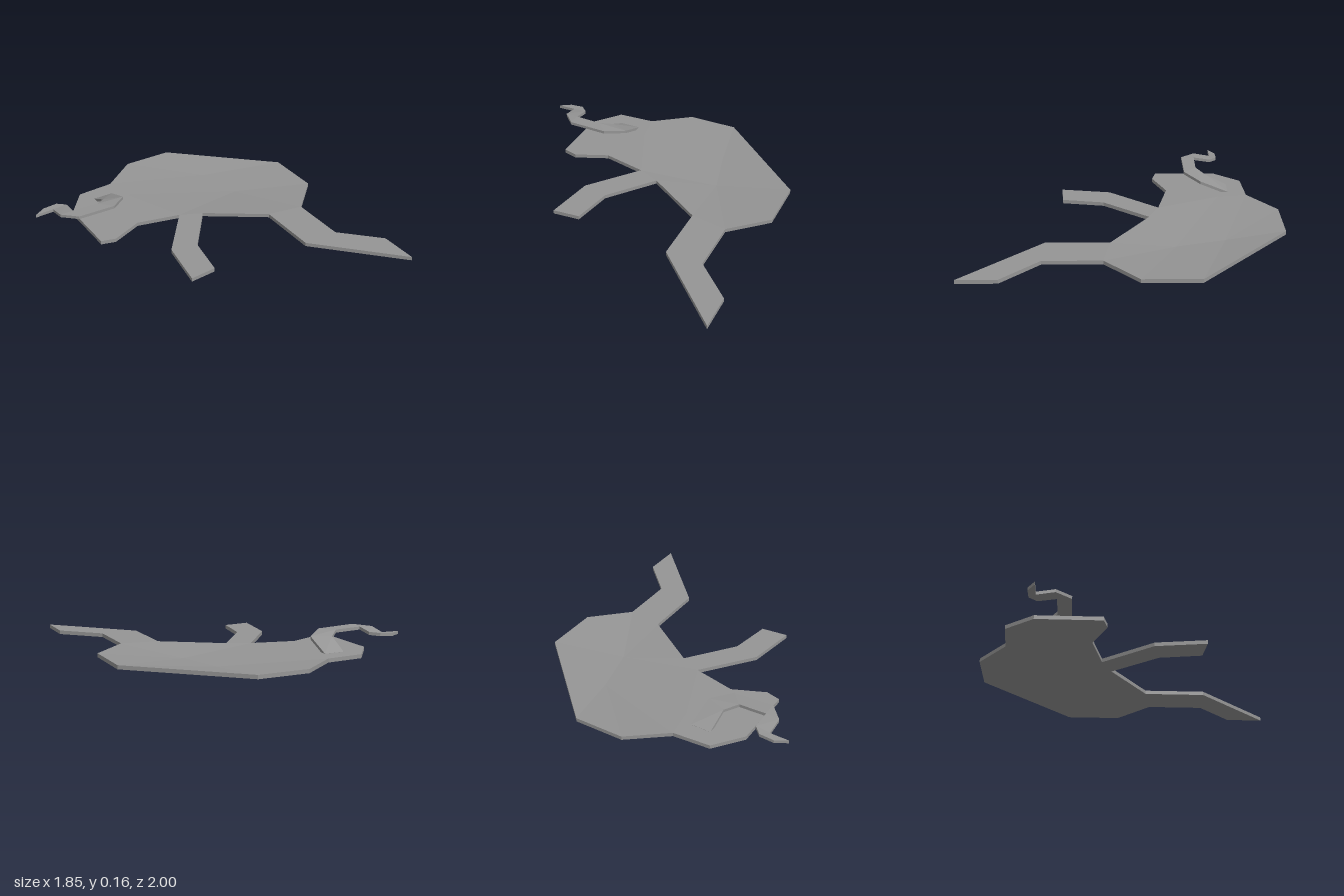
import * as THREE from 'three';

const material = new THREE.MeshStandardMaterial({ color: 0x959595, flatShading: true });

// Solid plate: points are [x, z, topY]; the first `rim` points run clockwise
// seen from above, faces are clockwise index loops, thickness goes downwards.
function plate(name, points, rim, faces, thickness) {
  const pos = [];
  const put = (i, low) => pos.push(points[i][0], points[i][2] - (low ? thickness : 0), points[i][1]);
  for (const face of faces) {
    const flat = face.map(i => new THREE.Vector2(points[i][0], points[i][1]));
    for (const tri of THREE.ShapeUtils.triangulateShape(flat, [])) {
      let [a, b, c] = tri.map(k => face[k]);
      const [A, B, C] = [points[a], points[b], points[c]];
      const turn = (B[0] - A[0]) * (C[1] - A[1]) - (B[1] - A[1]) * (C[0] - A[0]);
      if (turn > 0) [b, c] = [c, b];
      for (const i of [a, b, c]) put(i, false);
      for (const i of [a, c, b]) put(i, true);
    }
  }
  // side walls along the rim
  for (let a = 0; a < rim; a++) {
    const b = (a + 1) % rim;
    put(a, false); put(b, false); put(b, true);
    put(a, false); put(b, true); put(a, true);
  }
  const geometry = new THREE.BufferGeometry();
  geometry.setAttribute('position', new THREE.Float32BufferAttribute(pos, 3));
  geometry.computeVertexNormals();
  const mesh = new THREE.Mesh(geometry, material);
  mesh.name = name;
  return mesh;
}

export function createModel() {
  const group = new THREE.Group();
  group.name = 'flatAnimal';

  // Silhouette of back, hind leg, belly, front leg and head
  const outline = [
    [-0.03, -1], [0.3, -1], [0.92, -0.43], [0.92, -0.07], [0.69, 0.15],
    [0.69, 0.52], [0.92, 0.75], [0.92, 1], [0.45, 0.515], [0.45, 0.11],
    [0.08, -0.14], [-0.15, 0.16], [-0.195, 0.435], [-0.37, 0.45], [-0.32, 0.12],
    [-0.065, -0.205], [-0.35, -0.27], [-0.56, -0.18], [-0.655, -0.205],
    [-0.655, -0.62], [-0.515, -0.8], [-0.27, -0.815],
  ].map(([x, z]) => [x, z, 0.055]);
  // Neck point and the two sunken points of the dished body
  const inner = [[-0.24, -0.62, 0.055], [0.45, -0.3, 0.025], [0.37, -0.61, 0.028]];
  const neck = 22, low = 23, high = 24;

  const faces = [
    [15, 16, 17, 18, 19, 20, 21, neck],       // head
    [4, 5, 8, 9], [5, 6, 7, 8],               // hind leg
    [10, 11, 14, 15], [11, 12, 13, 14],       // front leg
    [high, 2, low], [high, low, neck],        // middle of the body
  ];
  const fan = (centre, ring) => {
    for (let i = 0; i + 1 < ring.length; i++) faces.push([centre, ring[i], ring[i + 1]]);
  };
  fan(high, [neck, 21, 0, 1, 2]);             // back
  fan(low, [2, 3, 4, 9, 10, 15, neck]);       // belly
  group.add(plate('body', [...outline, ...inner], outline.length, faces, 0.025));

  // Curved tusk rising from the head and hooking back at its tip
  const tusk = [
    [-0.32, -0.695, 0.056], [-0.33, -0.505, 0.13], [-0.45, -0.4, 0.152],
    [-0.71, -0.395, 0.16], [-0.8, -0.49, 0.154], [-0.8, -0.605, 0.134],
    [-0.925, -0.605, 0.131], [-0.85, -0.65, 0.133], [-0.755, -0.65, 0.139],
    [-0.705, -0.6, 0.142], [-0.71, -0.485, 0.157], [-0.53, -0.485, 0.152],
    [-0.46, -0.55, 0.127], [-0.455, -0.695, 0.056],
  ];
  group.add(plate('tusk', tusk, tusk.length, [
    [0, 1, 12, 13], [1, 2, 11, 12], [2, 3, 10, 11], [3, 4, 10],
    [4, 5, 9, 10], [5, 8, 9], [5, 6, 7, 8],
  ], 0.02));

  return group;
}
